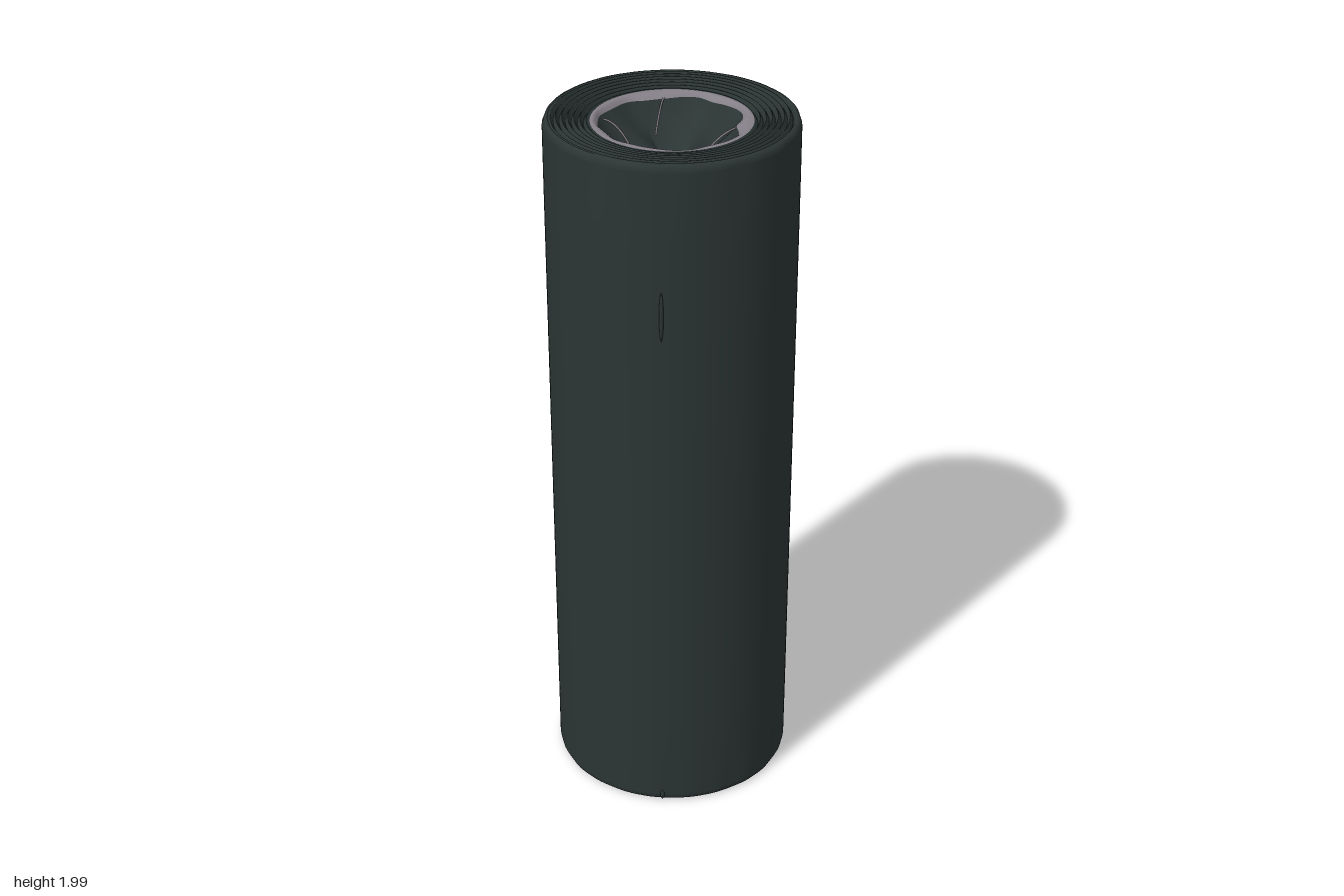
import * as THREE from 'three';

const SEG = 128;
const CZ = -0.006;

// Closed sheet around the y axis: at(u, angle) returns [radius, height]; rows run bottom > outside > top.
function sheet(rows, at) {
  const pos = [], index = [];
  for (let i = 0; i <= rows; i++) {
    for (let j = 0; j < SEG; j++) {
      const t = (j / SEG) * Math.PI * 2;
      const [r, y] = at(i / rows, t);
      pos.push(r * Math.sin(t), y, r * Math.cos(t) * 0.985);
      if (i === rows) continue;
      const k = (j + 1) % SEG, a = i * SEG + j, b = i * SEG + k;
      index.push(a, b, b + SEG, a, b + SEG, a + SEG);
    }
  }
  const g = new THREE.BufferGeometry();
  g.setAttribute('position', new THREE.Float32BufferAttribute(pos, 3));
  g.setIndex(index);
  g.computeVertexNormals();
  return g;
}

const lerp = THREE.MathUtils.lerp;
const HOLE = 0.213, EDGE = 0.322, LIP = 1.984;

// Small vertical creases that fade away from the ends
const crease = (t) => 0.5 + 0.25 * Math.sin(11 * t + 1) + 0.25 * Math.sin(23 * t);
function wall(u, t) {
  const y = lerp(0.022, 1.978, u);
  const end = Math.min(y, 2 - y);
  return [0.337 - 0.004 * crease(t) * Math.max(0, 1 - end / 0.2), y];
}

// Wound layers seen on the end faces, spiralling one step per turn
function layers(u, t) {
  const r = lerp(EDGE, HOLE, u);
  const fade = Math.min(1, u * 12, (1 - u) * 12);
  const ridge = Math.sin(u * 7 * Math.PI * 2 + t + 0.35 * Math.sin(3 * t));
  return [r, lerp(1.997, LIP, u * u) + fade * (0.005 * ridge - 0.005)];
}

// Ragged inner edge of the pale core lining
const rim = (t) => 0.188 + 0.008 * Math.sin(t * 3 + 0.5) + 0.006 * Math.sin(t * 7) - 0.008 * Math.pow(Math.abs(Math.sin(3 * t)), 8);

// Gathered, twisted film pushed into the core
function gather(u, t, edge, depth) {
  const r = edge * (1 - u);
  const fold = Math.pow(Math.abs(Math.sin(2.5 * t + 1.6 * u)), 0.8) - 0.5;
  const drop = depth * (1 - Math.pow(1 - u, 2.2));
  return [r, LIP - 0.012 - drop + depth * 0.45 * fold * Math.sin(Math.PI * u)];
}

export function createModel() {
  const group = new THREE.Group();
  const film = new THREE.MeshStandardMaterial({ color: 0x2b3534, side: THREE.DoubleSide });
  film.name = 'dark film';
  const lining = new THREE.MeshStandardMaterial({ color: 0x857f87, side: THREE.DoubleSide });
  lining.name = 'grey lining';

  const add = (name, geometry, material) => {
    const m = new THREE.Mesh(geometry, material);
    m.name = name;
    m.position.z = CZ;
    group.add(m);
    return m;
  };
  // Bottom version of an end surface: mirrored in height and walked outward
  const flip = (fn) => (u, t) => {
    const [r, y] = fn(1 - u, t);
    return [r, 2 - y];
  };

  // Outer wrap and rounded shoulders
  add('outerWrap', sheet(40, wall), film);
  const shoulder = (u, t) => {
    const a = u * Math.PI / 2, r0 = wall(1, t)[0];
    return [EDGE + (r0 - EDGE) * Math.cos(a), 1.978 + 0.019 * Math.sin(a)];
  };
  add('topShoulder', sheet(4, shoulder), film);
  add('bottomShoulder', sheet(4, flip(shoulder)), film);

  // Wound layers on both ends
  add('topLayers', sheet(84, layers), film);
  add('bottomLayers', sheet(84, flip(layers)), film);

  // Pale lining with a rolled lip, then the gathered film inside it
  const lip = (u, t) => [lerp(HOLE, rim(t), u), LIP - 0.012 * u + 0.006 * Math.sin(Math.PI * u)];
  add('coreLining', sheet(6, lip), lining);
  add('topGather', sheet(28, (u, t) => gather(u, t, rim(t), 0.15)), film);
  add('bottomGather', sheet(28, flip((u, t) => {
    const [r, y] = gather(u, t, HOLE, 0.06);
    return [r, y + 0.012];
  })), film);

  // Pale fold edges reaching in from the lining
  for (const [x0, z0, x1, z1] of [[-0.035, -0.18, -0.05, -0.09], [-0.18, -0.012, -0.11, -0.012], [0.19, 0.006, 0.09, 0.006]]) {
    const curve = new THREE.QuadraticBezierCurve3(
      new THREE.Vector3(x0, 1.974, z0),
      new THREE.Vector3((x0 + x1) / 2, 1.97, (z0 + z1) / 2),
      new THREE.Vector3(x1, 1.9, z1));
    add('foldEdge', new THREE.TubeGeometry(curve, 12, 0.003, 6), lining);
  }

  // Loose end of the film: small nubs on the front
  for (const [y, h] of [[1.58, 0.07], [0.025, 0.015]]) {
    const nub = add('looseEnd', new THREE.SphereGeometry(1, 12, 8), film);
    nub.scale.set(0.006, h, 0.007);
    nub.position.set(-0.002, y, 0.327);
  }
  return group;
}
